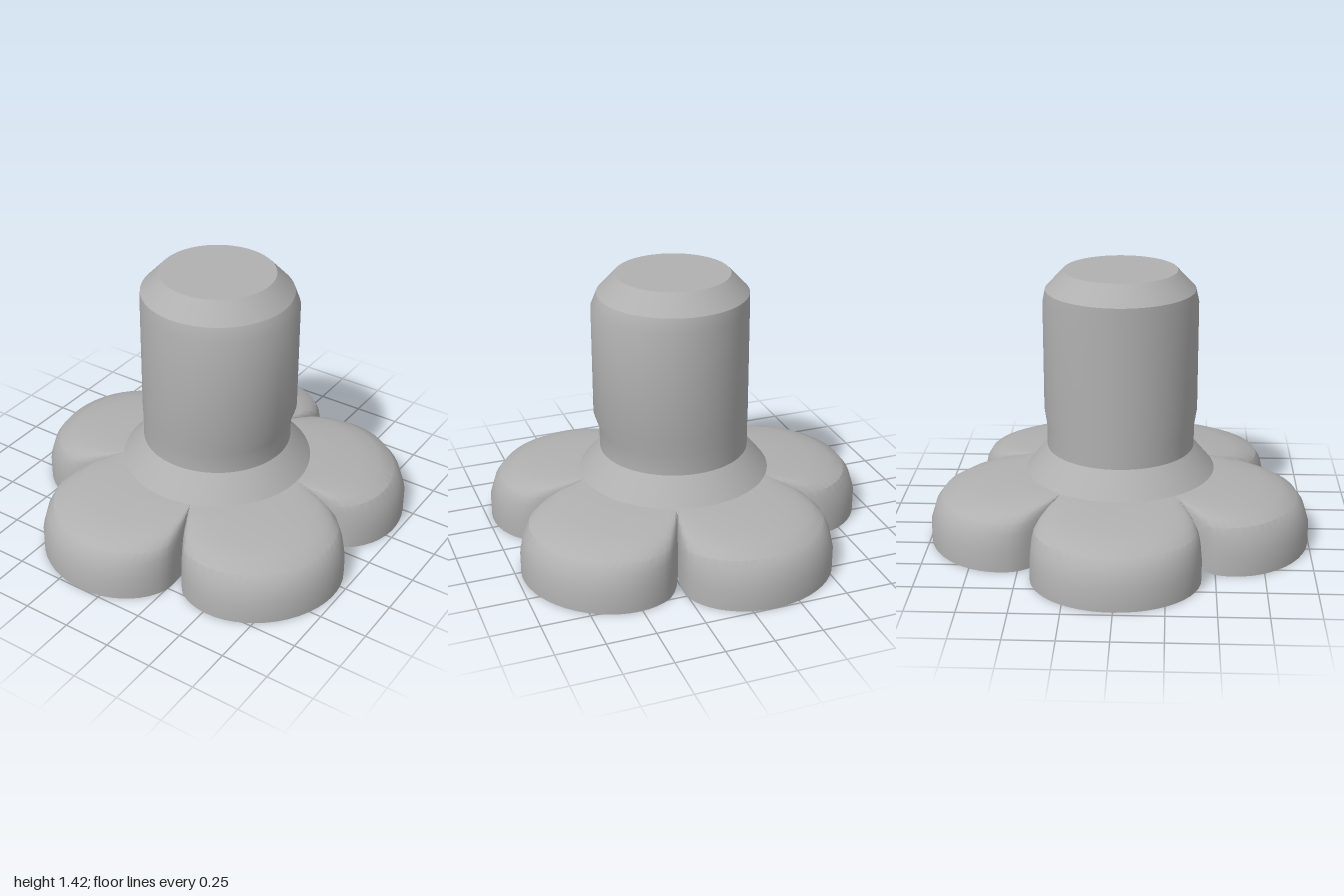
import * as THREE from 'three';
import { toCreasedNormals } from 'three/addons/utils/BufferGeometryUtils.js';

const CENTRE_X = 0.05;

// Skins closed loops of points, listed from the underside outwards and up
function loft(rings, crease) {
  const n = rings[0].length, pos = [], index = [];
  rings.forEach(ring => ring.forEach(p => pos.push(...p)));
  for (let i = 0; i < rings.length - 1; i++) {
    for (let j = 0; j < n; j++) {
      const k = (j + 1) % n;
      const a = i * n + j, b = i * n + k, c = a + n, d = b + n;
      index.push(a, c, b, b, c, d);
    }
  }
  const geo = new THREE.BufferGeometry();
  geo.setAttribute('position', new THREE.Float32BufferAttribute(pos, 3));
  geo.setIndex(index);
  return toCreasedNormals(geo, crease);
}

function circle(r, y, dx = 0, n = 64) {
  return Array.from({ length: n }, (_, i) => {
    const t = i / n * Math.PI * 2;
    return [CENTRE_X + dx + r * Math.cos(t), y, r * Math.sin(t)];
  });
}

// Five-petal outline as [angle, radius] pairs around the centre
function petalOutline() {
  const half = [];
  const steps = 12;
  for (let i = 0; i <= steps; i++) {
    const t = i / steps * Math.PI / 2;
    half.push([0.665 + 0.36 * Math.cos(t), 0.43 * Math.sin(t)]);
  }
  half.push([0.61, 0.416], [0.55, 0.39], [0.50, 0.36]);
  const polar = half.map(([u, v]) => [Math.atan2(v, u), Math.hypot(u, v)]);
  const petal = [
    ...polar.slice(1).reverse().map(([a, r]) => [-a, r]),
    ...polar,
    [Math.PI / 5, 0.59], // valley between petals
  ];
  const outline = [];
  for (let k = 0; k < 5; k++) {
    petal.forEach(([a, r]) => outline.push([a + Math.PI + k * Math.PI * 0.4, r]));
  }
  return outline;
}

export function createModel() {
  const group = new THREE.Group();
  const grey = new THREE.MeshStandardMaterial({ color: 0xb0b0b0 });
  grey.name = 'grey';
  const add = (name, geo) => {
    const mesh = new THREE.Mesh(geo, grey);
    mesh.name = name;
    group.add(mesh);
  };

  // Petal base: each ring blends the outline towards a circle
  const outline = petalOutline();
  const ring = (blend, r, y) => outline.map(([a, R]) => {
    const s = R + (r - R) * blend;
    return [CENTRE_X + s * Math.cos(a), y, s * Math.sin(a)];
  });
  add('petalBase', loft([
    ring(1, 0, 0.005),       // lobed boss under the centre
    ring(0.86, 0.04, 0.005),
    ring(1, 0.28, 0.07),     // hollow around the boss
    ring(0.5, 0.28, 0.025),
    ring(0, 0, 0),           // rim and wall
    ring(0, 0, 0.11),
    ring(0.055, 0.5, 0.2),   // domed top
    ring(0.13, 0.5, 0.25),
    ring(0.28, 0.5, 0.285),
    ring(0.49, 0.5, 0.31),
    ring(1, 0.5, 0.338),
    ring(1, 0, 0.338),
  ], 0.5));

  // Conical collar
  add('collar', loft([circle(0.5, 0.338), circle(0.39, 0.47)], 0.5));

  // Post, its middle slightly fuller and shifted to one side
  add('post', loft([
    circle(0.39, 0.47),
    circle(0.39, 0.58),
    circle(0.405, 0.67, 0.015),
    circle(0.405, 1.25, 0.015),
    circle(0.39, 1.32),
  ], 0.5));

  // Chamfered top
  add('postCap', loft([circle(0.39, 1.32), circle(0.295, 1.42), circle(0, 1.42)], 0.5));

  return group;
}
